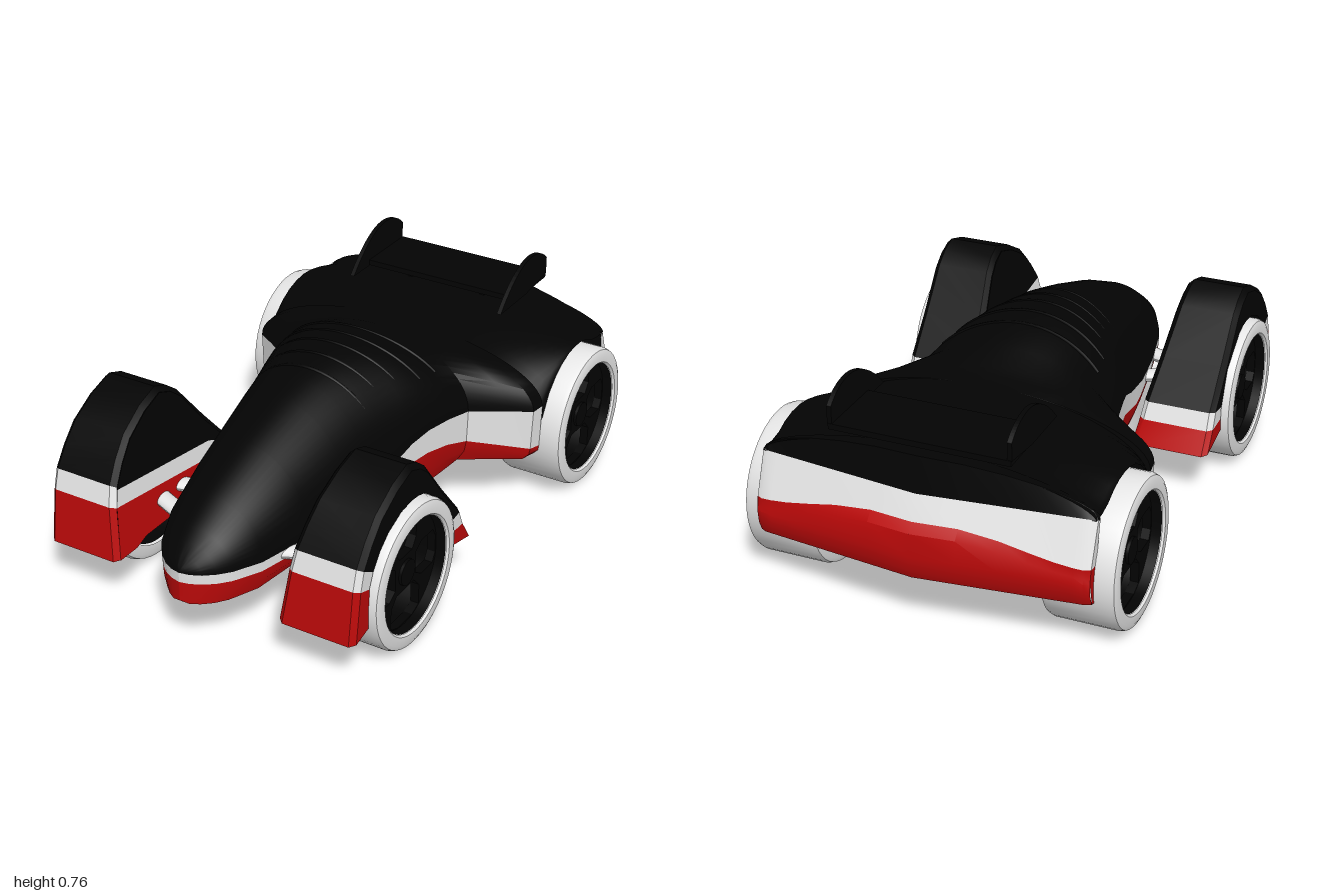
import * as THREE from 'three';
import { toCreasedNormals } from 'three/addons/utils/BufferGeometryUtils.js';

const paint = (name, color) => new THREE.MeshStandardMaterial({ name, color, side: THREE.DoubleSide });

// Skin a list of equally long cross-section rows of [x, y, z] points.
function skin(rows, crease = 0.6) {
  const n = rows[0].length, idx = [];
  for (let i = 0; i < rows.length - 1; i++) {
    for (let j = 0; j < n - 1; j++) {
      const a = i * n + j, b = a + n;
      idx.push(a, b, a + 1, b, b + 1, a + 1);
    }
  }
  const g = new THREE.BufferGeometry();
  g.setAttribute('position', new THREE.Float32BufferAttribute(rows.flat(2), 3));
  g.setIndex(idx);
  return toCreasedNormals(g.toNonIndexed(), crease);
}

// z, half width, bottom half width, heights of floor, red top, belt, roof, and squareness
const STATIONS = [
  [0.998, 0, 0, 0.19, 0.26, 0.295, 0.3, 2],
  [0.99, 0.035, 0.03, 0.183, 0.26, 0.294, 0.315, 2],
  [0.97, 0.07, 0.06, 0.18, 0.258, 0.292, 0.34, 2],
  [0.94, 0.105, 0.092, 0.179, 0.256, 0.291, 0.375, 2],
  [0.9, 0.138, 0.12, 0.178, 0.255, 0.29, 0.41, 2],
  [0.8, 0.183, 0.165, 0.18, 0.25, 0.285, 0.475, 2],
  [0.6, 0.228, 0.2, 0.192, 0.25, 0.285, 0.565, 2],
  [0.4, 0.262, 0.235, 0.185, 0.245, 0.3, 0.635, 2],
  [0.3, 0.277, 0.25, 0.178, 0.25, 0.325, 0.665, 2],
  [0.2, 0.292, 0.265, 0.175, 0.28, 0.35, 0.688, 2],
  [0.08, 0.315, 0.29, 0.175, 0.322, 0.4, 0.702, 2],
  [0, 0.335, 0.3, 0.178, 0.33, 0.42, 0.7, 2],
  [-0.1, 0.356, 0.32, 0.19, 0.318, 0.42, 0.685, 2],
  [-0.2, 0.378, 0.34, 0.205, 0.29, 0.41, 0.652, 2],
  [-0.28, 0.49, 0.45, 0.2, 0.265, 0.405, 0.618, 2],
  [-0.33, 0.565, 0.53, 0.2, 0.25, 0.4, 0.603, 2],
  [-0.385, 0.572, 0.545, 0.2, 0.24, 0.4, 0.595, 2],
];

function stationAt(z) {
  const i = Math.max(1, STATIONS.findIndex((s) => s[0] <= z));
  const a = STATIONS[i - 1], b = STATIONS[i], t = (a[0] - z) / (a[0] - b[0]);
  return a.map((v, k) => v + (b[k] - v) * t);
}

// Rounded roof arc from belt to belt
function roofArc(z, w, base, top, n, from = 0, to = 1, steps = 32) {
  return Array.from({ length: steps + 1 }, (_, i) => {
    const t = Math.PI * (from + (to - from) * i / steps), c = Math.cos(t);
    const s = Math.max(0, Math.sin(t));
    return [w * Math.sign(c) * Math.abs(c) ** (2 / n), base + (top - base) * s ** (2 / n), z];
  });
}

export function createModel() {
  const black = paint('black', 0x030303);
  const red = paint('red', 0xbb0909);
  const white = paint('white', 0xe6e6e6);
  const model = new THREE.Group();
  const add = (name, geo, mat, parent = model) => {
    const m = new THREE.Mesh(geo, mat);
    m.name = name;
    parent.add(m);
    return m;
  };

  // Body: roof, floor and the two coloured side bands
  const WELL = 0.385, WHEEL_Z = -0.64;
  const archY = (z) => Math.max(z < WHEEL_Z ? 0.48 : 0,
    0.26 + Math.sqrt(Math.max(0.0072, 0.266 ** 2 - (z - WHEEL_Z) ** 2)));
  const deckZ = Array.from({ length: 11 }, (_, i) => -0.386 - i * 0.0484);
  add('bodyShell', skin([
    ...STATIONS.map((s) => roofArc(s[0], s[1], s[5], s[6], s[7])),
    ...deckZ.map((z) => roofArc(z, 0.572, archY(z), 0.595 + Math.max(0, -z - 0.7) * 0.05,
      1.55 + (0.526 - archY(z)) * 3)),
  ]), black);
  add('floor', skin([
    ...STATIONS.map((s) => [[-s[2], s[3], s[0]], [s[2], s[3], s[0]]]),
    ...[-0.386, -0.9].map((z) => [[-WELL, 0.2, z], [WELL, 0.2, z]]),
  ]), black);
  for (const s of [1, -1]) {
    add('redSideBand', skin(STATIONS.map(([z, w, b, y0, y1]) =>
      [[s * b, y0, z], [s * (b * 0.3 + w * 0.7), y0 * 0.5 + y1 * 0.5, z], [s * w * 0.99, y1, z]])), red);
    add('whiteSideBand', skin(STATIONS.map(([z, w, , , y1, y2]) =>
      [[s * w * 0.99, y1, z], [s * w, y2, z]])), white);
    add('rearWheelWell', skin([
      [[s * 0.545, 0.2, -0.386], [s * 0.572, 0.4, -0.386], [s * 0.572, 0.4, -0.386]],
      ...deckZ.map((z) => [[s * WELL, 0.2, z], [s * WELL, archY(z), z], [s * 0.572, archY(z), z]]),
    ]), black);
  }

  // Low ribs across the roof
  for (const z of [0.24, 0.16, 0.08, 0, -0.08]) {
    const s = stationAt(z);
    const pts = roofArc(z, s[1], s[5], s[6], s[7], 0.2, 0.8, 16)
      .map(([x, y]) => new THREE.Vector3(x, y - 0.003, z - x * x * 0.5));
    add('roofRib', new THREE.TubeGeometry(new THREE.CatmullRomCurve3(pts), 24, 0.007, 6), black);
  }

  // Tail: [y, z] profiles swept across a shallow V; fixed points ignore the V
  const tailXs = [-0.575, -0.555, -0.52, -0.46, -0.38, -0.28, -0.15, 0, 0.15, 0.28, 0.38, 0.46, 0.52, 0.555, 0.575];
  const deckY = (x) => Math.max(0.487, 0.48 + 0.125 * (1 - (Math.abs(x) / 0.5751) ** 1.7) ** (1 / 1.7));
  const seamY = (x) => 0.335 + 0.065 * THREE.MathUtils.smoothstep(0.575 - Math.abs(x), 0, 0.45);
  const seamZ = (x) => -0.968 - (0.4 - seamY(x)) * 0.35;
  const sweep = (profile) => skin(tailXs.map((x) => {
    const tip = Math.abs(x) > 0.57 ? 0.008 : 0;
    return profile(x).map(([y, z, fixed]) => [x, y, fixed ? z : z + tip + 0.066 * Math.abs(x) / 0.575]);
  }));
  add('tailDeck', sweep((x) => [[deckY(x), -0.845, 1], [deckY(x), -0.915], [0.482, -0.934]]), black);
  add('tailWhiteBand', sweep((x) => [[0.482, -0.934], [seamY(x), seamZ(x)]]), white);
  add('tailRedBumper', sweep((x) => [[seamY(x), seamZ(x)], [seamY(x) - 0.03, -0.993], [0.29, -1], [0.24, -0.995],
    [0.205, -0.98]]), red);
  add('tailInside', sweep(() => [[0.205, -0.98], [0.2, -0.885, 1], [0.33, -0.875, 1], [0.482, -0.845, 1]]), black);
  for (const s of [1, -1]) {
    const x = s * 0.575;
    add('tailWhiteEnd', skin([[[x, 0.482, -0.86], [x, 0.335, -0.917]], [[x, 0.47, -0.845], [x, 0.33, -0.875]]]), white);
    add('tailRedEnd', skin([
      [[x, 0.335, -0.917], [x, 0.29, -0.926], [x, 0.205, -0.906]],
      [[x, 0.33, -0.875], [x, 0.29, -0.878], [x, 0.2, -0.885]]]), red);
  }

  // Rear wing with two end fins and central mounts
  const wing = new THREE.Group();
  wing.name = 'rearWing';
  model.add(wing);
  add('wingPlate', new THREE.BoxGeometry(0.62, 0.02, 0.25), black, wing).position.set(0.004, 0.635, -0.775);
  for (const x of [-0.15, 0.15])
    add('wingMount', new THREE.BoxGeometry(0.02, 0.08, 0.08), black, wing).position.set(x, 0.59, -0.75);
  const finShape = new THREE.Shape();
  finShape.moveTo(-0.54, 0.622);
  finShape.quadraticCurveTo(-0.66, 0.755, -0.77, 0.757);
  finShape.quadraticCurveTo(-0.85, 0.755, -0.898, 0.705);
  finShape.lineTo(-0.898, 0.643);
  finShape.lineTo(-0.74, 0.622);
  const finGeo = new THREE.ExtrudeGeometry(finShape, { depth: 0.016, bevelEnabled: false });
  finGeo.rotateY(-Math.PI / 2);
  for (const x of [-0.292, 0.317]) add('wingFin', finGeo, black, wing).position.x = x;

  // Front fenders: arched shells with red feet, built for one side and mirrored
  const FZ = 0.57, OUT = 0.589;
  const front = [[0.914, 0.172], [0.888, 0.36], [0.868, 0.43]];
  const crown = [[0.868, 0.43], [0.82, 0.5], [0.76, 0.565], [0.66, 0.622], [0.57, 0.65],
    [0.51, 0.628], [0.46, 0.59], [0.34, 0.44], [0.228, 0.31]];
  const rear = [[0.228, 0.31], [0.203, 0.25], [0.154, 0.172]];
  const innerX = (y) => 0.31 + Math.max(0, y - 0.175) * 0.126;
  const toward = ([z, y], r) => {
    const d = Math.hypot(z - FZ, y - 0.26), k = Math.min(1, r / d);
    return [FZ + (z - FZ) * k, 0.26 + (y - 0.26) * k];
  };
  const shrink = (p) => toward(p, Math.hypot(p[0] - FZ, p[1] - 0.26) - 0.018);
  const fenderRow = (s) => (p) => {
    const [z, y] = p, [za, ya] = toward(p, 0.262), [zb, yb] = shrink(p), xi = innerX(y);
    return [[xi, yb, zb], [xi + 0.018, y, z], [OUT - 0.018, y, z], [OUT, yb, zb], [OUT, ya, za], [xi + 0.01, ya, za]]
      .map(([x, v, w]) => [s * x, v, w]);
  };
  const outline = [...front, ...crown.slice(1), ...rear.slice(1)];
  for (const s of [1, -1]) {
    const fender = new THREE.Group();
    fender.name = s > 0 ? 'leftFrontFender' : 'rightFrontFender';
    model.add(fender);
    const row = fenderRow(s);
    const part = (name, pts, mat) => add(name, skin(pts.map(row)), mat, fender);
    part('fenderCrown', crown, black);
    part('fenderFrontStripe', front.slice(1), white);
    part('fenderRearStripe', rear.slice(0, 2), white);
    part('fenderFrontFoot', front.slice(0, 2), red);
    part('fenderRearFoot', rear.slice(1), red);
    // undersides of the feet
    for (const p of [front[0], rear[2]]) {
      const r = row(p);
      add('fenderFootBase', skin([[r[0], r[1], r[2], r[3]], [r[5], r[5], r[4], r[4]]]), black, fender);
    }
    // inner wall in three bands with a black lining, its lower edge raised beside the wheel
    const wall = (lo, hi, off = 0) => skin(outline.map((p) => {
      const [z, top] = shrink(p), t = (z - 0.16) / 0.75;
      const foot = Math.abs(z - FZ) < 0.2 ? 0.192 : 0.175;
      const levels = [foot, 0.27 + 0.09 * t, 0.33 + 0.09 * t, 9].map((v) => Math.max(foot, Math.min(v, top)));
      return [lo, hi].map((k) => [s * (innerX(levels[k]) + off), levels[k], z]);
    }));
    add('innerWallRed', wall(0, 1), red, fender);
    add('innerWallWhite', wall(1, 2), white, fender);
    add('innerWallBlack', wall(2, 3), black, fender);
    add('innerWallLining', wall(0, 3, 0.009), black, fender);

    // Flattened suspension arms
    for (const [za, zb] of [[0.53, 0.48], [0.63, 0.69]]) {
      const ring = (x, y, z) => Array.from({ length: 17 }, (_, i) => {
        const a = i * Math.PI / 8;
        return [s * x, y + 0.021 * Math.cos(a), z + 0.036 * Math.sin(a)];
      });
      add('suspensionArm', skin([ring(0.335, 0.272, za), ring(0.18, 0.265, zb)]), white);
    }
  }

  // Wheels: hollow light tyre, black pierced rim with a wide lower opening
  const spokeDisc = new THREE.Shape().absarc(0, 0, 0.202, 0, Math.PI * 2);
  for (let i = 0; i < 4; i++) {
    const k = i ? 0.72 : 1;
    const hole = [[-0.055, -0.064], [0.055, -0.064], [0.088, -0.1], [0.088, -0.174], [0.045, -0.191], [-0.045, -0.191],
      [-0.088, -0.174], [-0.088, -0.1]].map(([x, y]) => new THREE.Vector2(x * k, y).rotateAround(new THREE.Vector2(), i * Math.PI / 2));
    spokeDisc.holes.push(new THREE.Path(hole));
  }
  const wheel = (s, z, x0, x1) => {
    const g = new THREE.Group(), h = (x1 - x0) / 2, R = 0.255;
    g.name = 'wheel';
    g.position.set(s * (x0 + x1) / 2, R, z);
    const profile = [[0.2, -h], [R - 0.02, -h], [R - 0.006, -h + 0.006], [R, -h + 0.022], [R, h - 0.022],
      [R - 0.006, h - 0.006], [R - 0.02, h], [0.205, h], [0.198, h - 0.008]].map((p) => new THREE.Vector2(...p));
    const tyre = toCreasedNormals(new THREE.LatheGeometry(profile, 48).toNonIndexed(), 0.7);
    tyre.rotateZ(-s * Math.PI / 2);
    add('tyre', tyre, white, g);
    const rim = new THREE.CylinderGeometry(0.198, 0.198, 2 * h - 0.02, 48, 1, true).rotateZ(Math.PI / 2);
    add('rim', rim, black, g);
    const hub = new THREE.CylinderGeometry(0.045, 0.045, 0.05, 20).rotateZ(Math.PI / 2);
    add('hub', hub, black, g).position.x = s * (h - 0.06);
    const disc = new THREE.ExtrudeGeometry(spokeDisc, { depth: 0.03, bevelEnabled: false, curveSegments: 24 });
    disc.translate(0, 0, -0.015).rotateY(Math.PI / 2);
    add('spokes', disc, black, g).position.x = s * (h - 0.06);
    model.add(g);
  };
  for (const s of [1, -1]) {
    wheel(s, FZ, 0.385, 0.619);
    wheel(s, WHEEL_Z, 0.39, 0.645);
  }
  return model;
}
